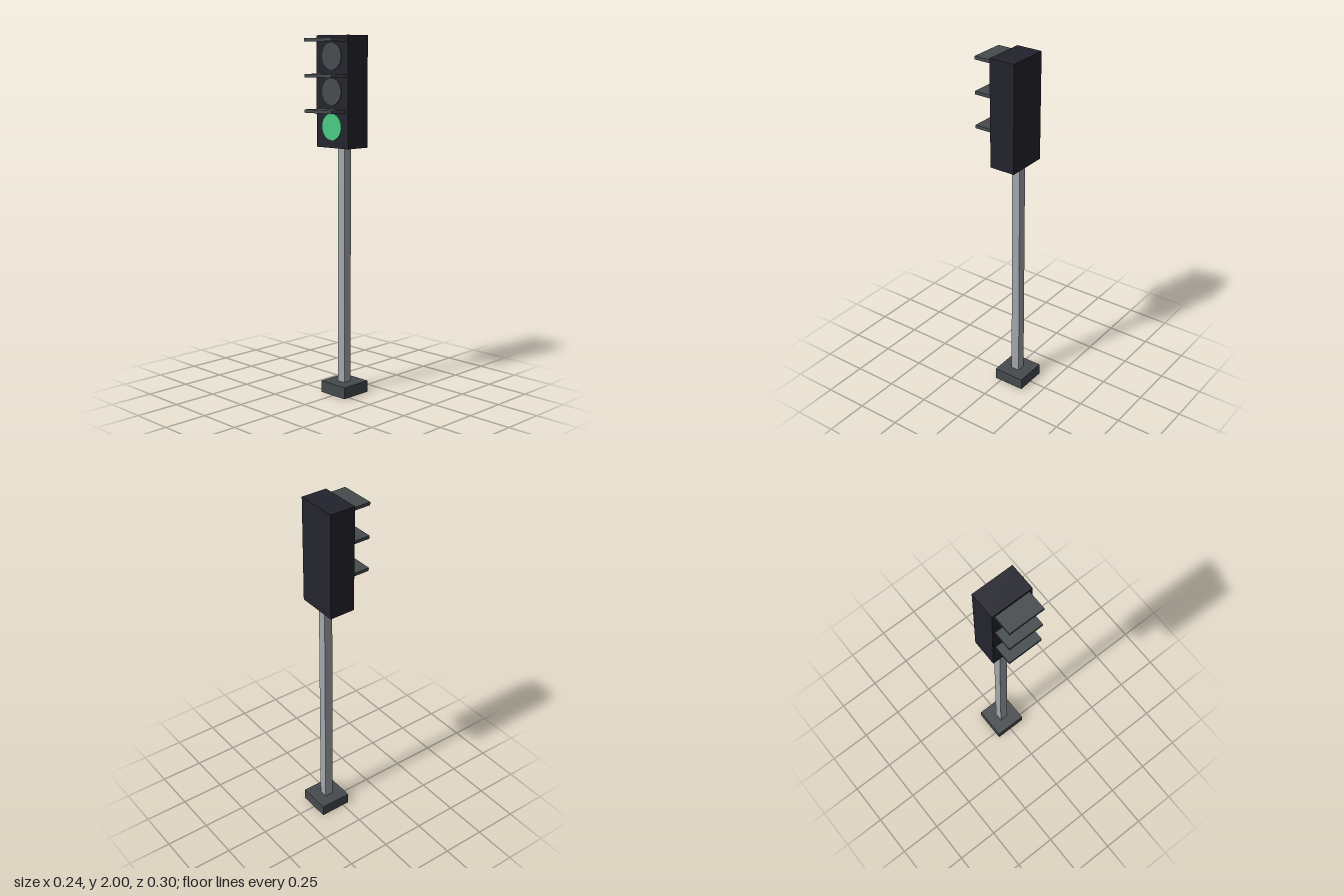
import * as THREE from 'three';

const material = (name, color) => {
  const m = new THREE.MeshStandardMaterial({ color });
  m.name = name;
  return m;
};

export function createModel() {
  const group = new THREE.Group();
  const housingBlack = material('housingBlack', 0x23232e);
  const darkGrey = material('darkGrey', 0x464b4e);
  const poleGrey = material('poleGrey', 0xa3a8ac);
  const litGreen = material('litGreen', 0x48cc82);

  const add = (name, geometry, mat, x, y, z) => {
    const mesh = new THREE.Mesh(geometry, mat);
    mesh.name = name;
    mesh.position.set(x, y, z);
    group.add(mesh);
    return mesh;
  };
  // Box given by its vertical and depth extents, centred on x
  const box = (name, mat, width, y0, y1, z0, z1) =>
    add(name, new THREE.BoxGeometry(width, y1 - y0, z1 - z0), mat, 0, (y0 + y1) / 2, (z0 + z1) / 2);

  // Foot, square pole and signal housing
  box('base', darkGrey, 0.185, 0.001, 0.067, -0.148, 0.037);
  box('pole', poleGrey, 0.05, 0, 1.41, -0.08, -0.03);
  box('housing', housingBlack, 0.24, 1.397, 2, -0.11, 0.04);

  // Three lamps, only the lowest lit, each under a flat visor
  const lampGeometry = new THREE.CylinderGeometry(0.072, 0.072, 0.008, 32).rotateX(Math.PI / 2);
  ['lower', 'middle', 'upper'].forEach((place, i) => {
    const y = 1.511 + i * 0.189;
    add(place + 'Lamp', lampGeometry, i === 0 ? litGreen : darkGrey, 0, y, 0.041);
    box(place + 'Visor', darkGrey, 0.205, y + 0.077, y + 0.095, 0.035, 0.148);
  });

  return group;
}
